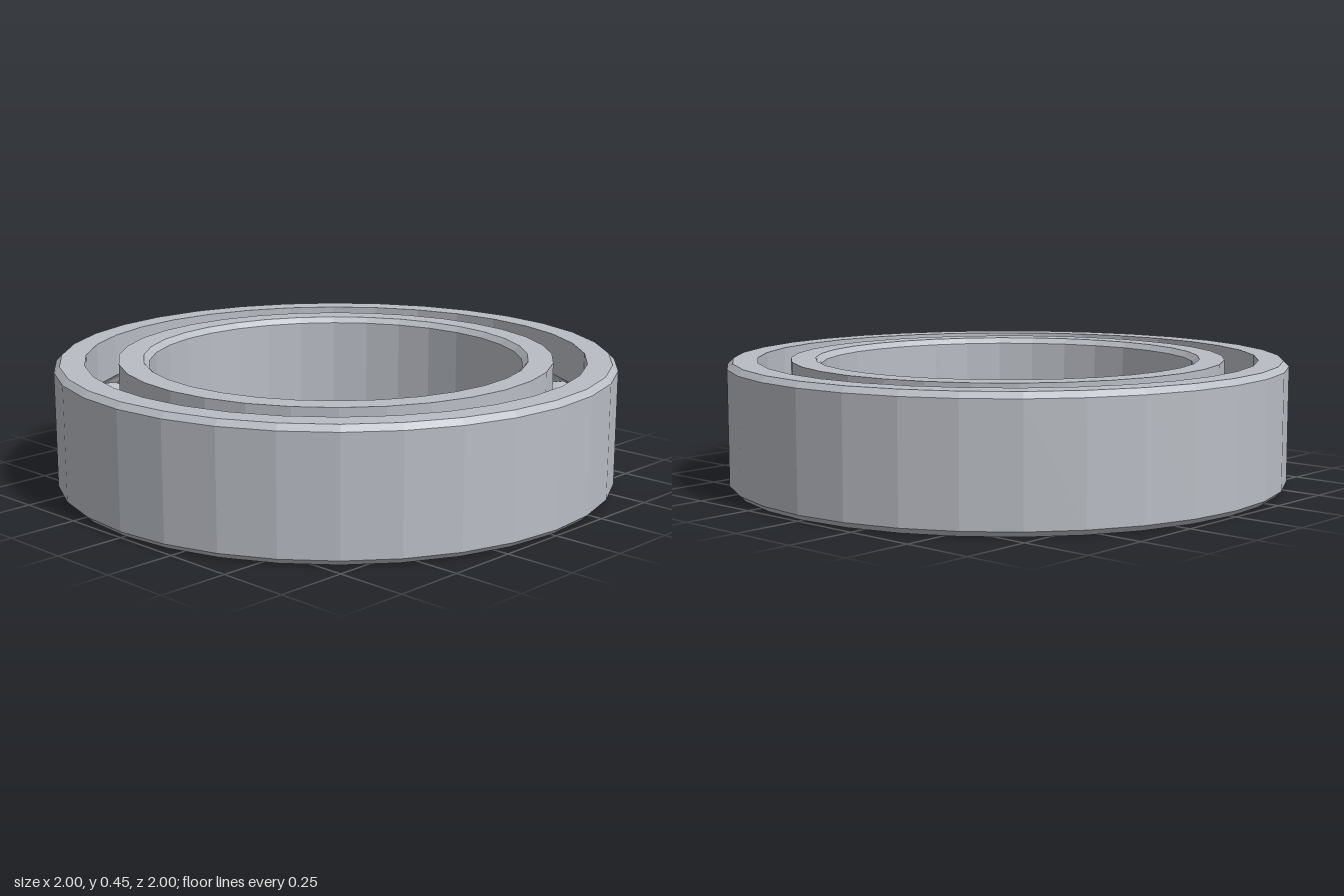
import * as THREE from 'three';

const HEIGHT = 0.45, MID = HEIGHT / 2;
const BALLS = 20, BALL_RADIUS = 0.091, BALL_PATH = 0.835;
const SIDES = 32, BEVEL = 0.02;

// Raceway groove on a wall at the given radius, running from low to high
function groove(wall) {
  const side = Math.sign(wall - BALL_PATH);
  const r = BALL_RADIUS + 0.002;
  const spread = Math.acos(Math.abs(wall - BALL_PATH) / r);
  const points = [];
  for (let i = 0; i <= 6; i++) {
    const a = -spread + (2 * spread * i) / 6;
    points.push([BALL_PATH + side * r * Math.cos(a), MID + r * Math.sin(a)]);
  }
  return points;
}

// Closed profile spun around the vertical axis
function ring(name, profile, material) {
  const points = [...profile, profile[0]].map(([x, y]) => new THREE.Vector2(x, y));
  const mesh = new THREE.Mesh(new THREE.LatheGeometry(points, SIDES).toNonIndexed(), material);
  mesh.geometry.computeVertexNormals();
  mesh.name = name;
  return mesh;
}

export function createModel() {
  const model = new THREE.Group();
  model.name = 'ballBearing';
  const steel = new THREE.MeshStandardMaterial({ color: 0xb9bdc4 });
  steel.name = 'steel';

  // Outer race: bevelled outside, grooved inside
  const outerWall = 0.893;
  model.add(ring('outerRace', [
    [outerWall, 0], [1 - BEVEL, 0], [1, BEVEL], [1, HEIGHT - BEVEL], [1 - BEVEL, HEIGHT],
    [outerWall, HEIGHT], ...groove(outerWall).reverse(),
  ], steel));

  // Inner race: bevelled bore, grooved outside
  const innerWall = 0.775, bore = 0.667;
  model.add(ring('innerRace', [
    [bore + BEVEL, 0], [innerWall, 0], ...groove(innerWall), [innerWall, HEIGHT],
    [bore + BEVEL, HEIGHT], [bore, HEIGHT - BEVEL], [bore, BEVEL],
  ], steel));

  // Balls evenly spaced between the races
  const balls = new THREE.Group();
  balls.name = 'balls';
  const ballGeometry = new THREE.IcosahedronGeometry(BALL_RADIUS, 3);
  for (let i = 0; i < BALLS; i++) {
    const a = (i / BALLS) * Math.PI * 2;
    const ball = new THREE.Mesh(ballGeometry, steel);
    ball.name = 'ball';
    ball.position.set(BALL_PATH * Math.cos(a), MID, BALL_PATH * Math.sin(a));
    balls.add(ball);
  }
  // Faceted balls
  ballGeometry.computeVertexNormals();
  model.add(balls);
  return model;
}
